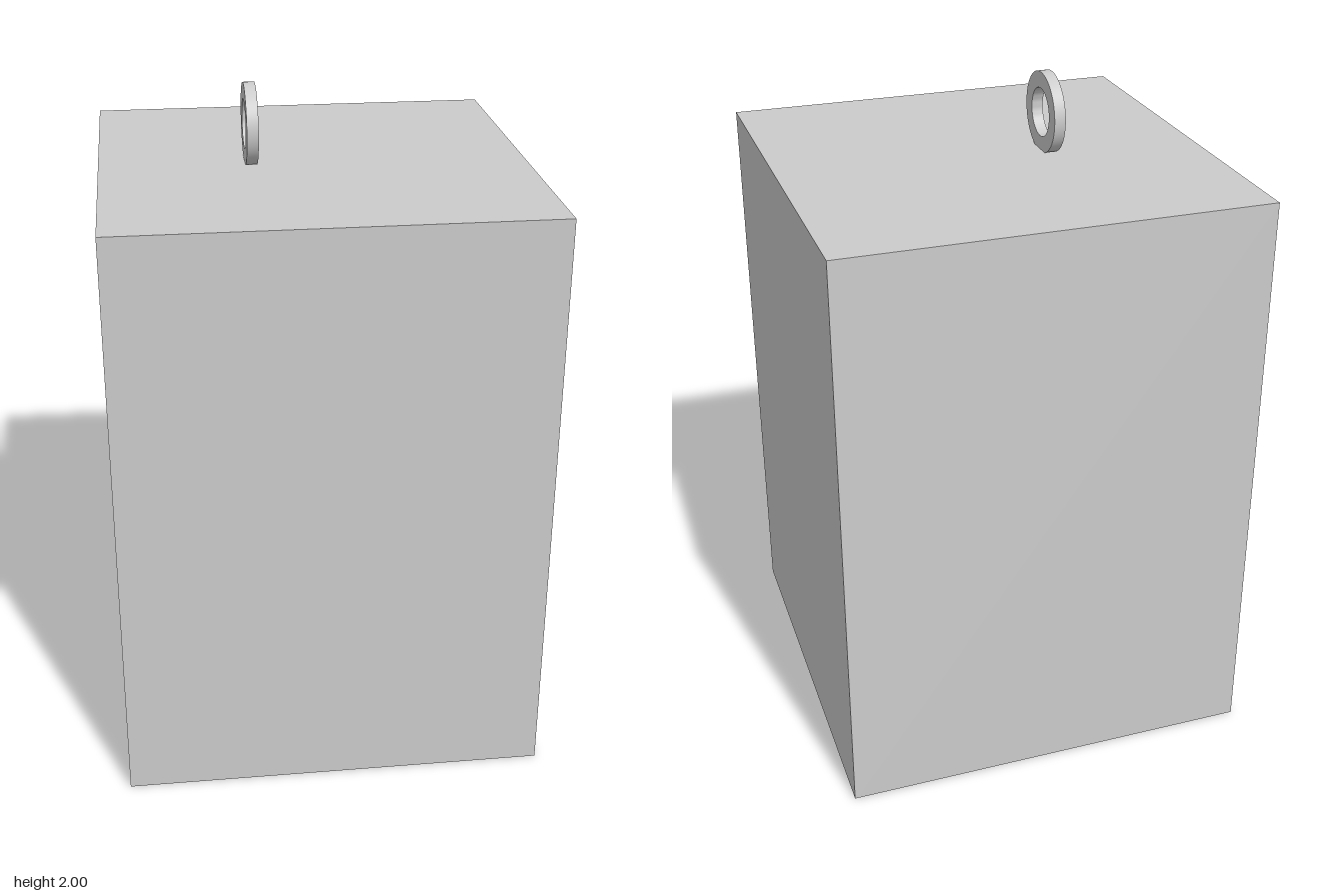
import * as THREE from 'three';
import { toCreasedNormals } from 'three/addons/utils/BufferGeometryUtils.js';

const WIDTH = 1.26, HEIGHT = 1.768, WALL = 0.006;

// Extrudes a shape along +x: shape x becomes -z, shape y stays up.
function extrudeAlongX(shape, depth) {
  const geometry = new THREE.ExtrudeGeometry(shape, { depth, bevelEnabled: false, curveSegments: 32 });
  return geometry.rotateY(Math.PI / 2);
}

function rectangle(PathType, x0, y0, x1, y1) {
  return new PathType([[x0, y0], [x1, y0], [x1, y1], [x0, y1]].map(([x, y]) => new THREE.Vector2(x, y)));
}

export function createModel() {
  const group = new THREE.Group();
  const material = new THREE.MeshStandardMaterial({ color: 0xcccccc });
  const half = WIDTH / 2;

  const add = (name, geometry, x, y, z) => {
    const mesh = new THREE.Mesh(geometry, material);
    mesh.name = name;
    mesh.position.set(x, y, z);
    group.add(mesh);
  };

  // Floor, roof, front and back as one thin sleeve, open on the -x side
  const sleeve = rectangle(THREE.Shape, -half, 0, half, HEIGHT);
  sleeve.holes.push(rectangle(THREE.Path, -half + WALL, WALL, half - WALL, HEIGHT - WALL));
  add('boxShell', extrudeAlongX(sleeve, WIDTH - WALL), -half, 0, 0);

  // Closed wall on the +x side
  add('closedWall', new THREE.BoxGeometry(WALL, HEIGHT, WIDTH), half - WALL / 2, HEIGHT / 2, 0);

  // Flat hanging ring standing on the roof
  const ring = new THREE.Shape().absarc(0, 0, 0.12, 0, Math.PI * 2);
  ring.holes.push(new THREE.Path().absarc(0, 0, 0.072, 0, Math.PI * 2, true));
  add('hangingRing', toCreasedNormals(extrudeAlongX(ring, 0.034), 0.6), -0.2, 1.88, -0.003);

  return group;
}
